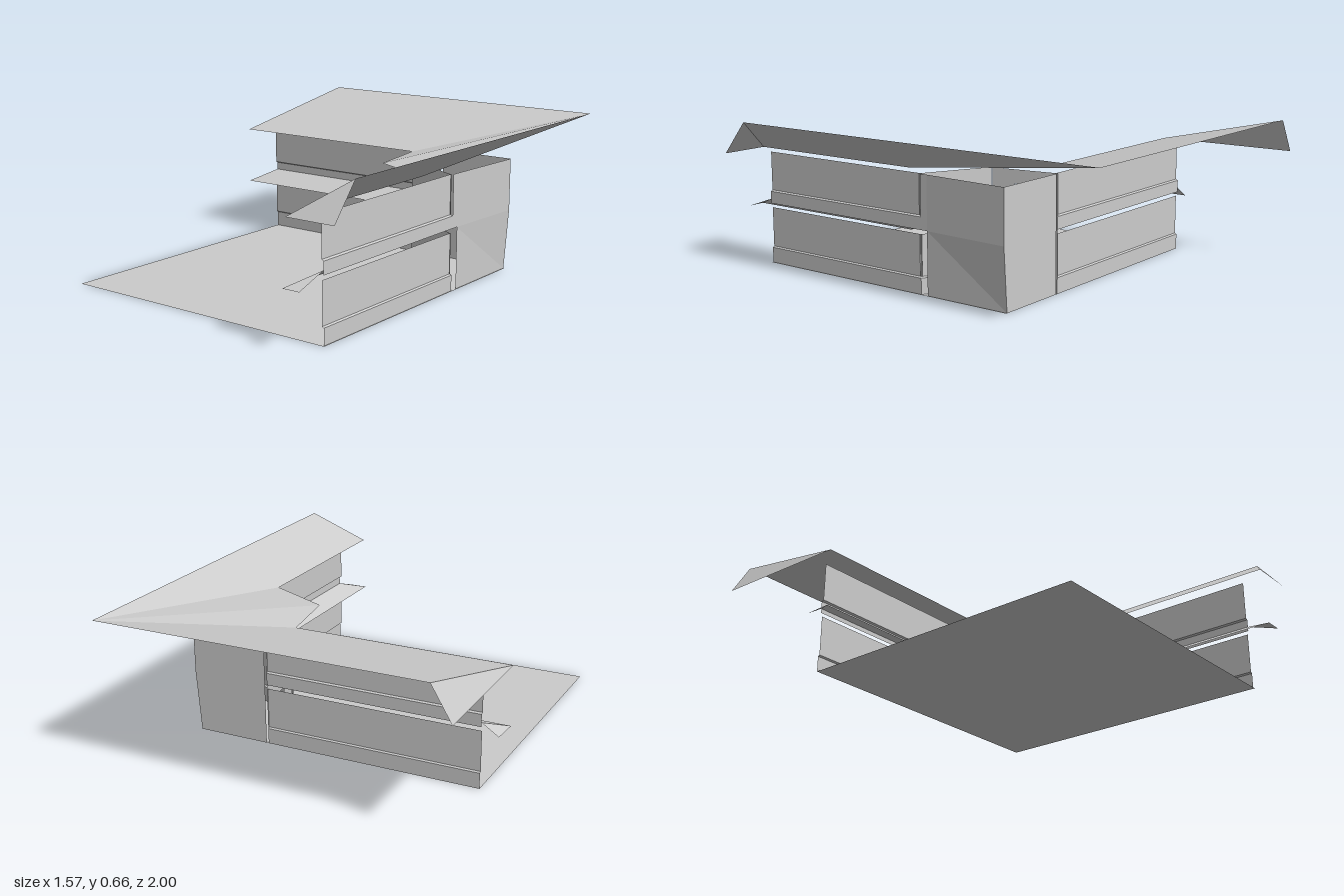
import * as THREE from 'three';

const mat = new THREE.MeshStandardMaterial({ color: 0xcccccc, flatShading: true, side: THREE.DoubleSide });

function mesh(name, geometry) {
  const m = new THREE.Mesh(geometry, mat);
  m.name = name;
  return m;
}

// Ruled sheet joining two polylines with the same number of points
function sheet(a, b, extraTriangles = []) {
  const pos = [];
  for (let i = 0; i < a.length - 1; i++) {
    pos.push(...a[i], ...b[i], ...b[i + 1], ...a[i], ...b[i + 1], ...a[i + 1]);
  }
  for (const tri of extraTriangles) pos.push(...tri.flat());
  const g = new THREE.BufferGeometry();
  g.setAttribute('position', new THREE.Float32BufferAttribute(pos, 3));
  g.computeVertexNormals();
  return g;
}

// Plan points [x, z] raised to height y
const lift = (plan, y) => plan.map(([x, z]) => [x, y, z]);

// Wall sheet between plan points p and q; profile is a list of [inward offset, y]
function wall(name, p, q, profile) {
  const dx = q[0] - p[0], dz = q[1] - p[1], len = Math.hypot(dx, dz);
  const nx = dz / len, nz = -dx / len; // points away from the courtyard
  const row = ([x, z]) => profile.map(([d, y]) => [x - nx * d, y, z - nz * d]);
  return mesh(name, sheet(row(p), row(q)));
}

function rect(Path, x0, y0, x1, y1) {
  const s = new Path();
  s.moveTo(x0, y0);
  s.lineTo(x1, y0);
  s.lineTo(x1, y1);
  s.lineTo(x0, y1);
  s.closePath();
  return s;
}

export function createModel() {
  const group = new THREE.Group();

  // Courtyard floor
  const floor = mesh('floor', new THREE.PlaneGeometry(1.34, 1.34).rotateX(-Math.PI / 2));
  floor.position.set(-0.03, 0, 0.19);
  group.add(floor);

  // Main roof, rising outwards from the kinked inner eave
  const eave = [[-0.78, -0.355], [0.21, -0.355], [0.26, -0.05], [0.555, 0.09], [0.555, 0.98]];
  const rim = [[-0.7, -1], [0.78, -1], [0.78, -1], [0.78, -1], [0.78, 0.855]];
  group.add(mesh('roof', sheet(lift(eave, 0.51), lift(rim, 0.66), [
    [[-0.7, 0.66, -1], [-0.79, 0.51, -1], [-0.78, 0.51, -0.355]],
    [[0.78, 0.66, 0.855], [0.78, 0.51, 0.98], [0.555, 0.51, 0.98]],
  ])));

  // Wall line around the courtyard
  const line = [[-0.7, -0.48], [0.29, -0.48], [0.34, -0.18], [0.635, -0.035], [0.635, 0.855]];

  // Lower canopy following the walls
  const lowEave = eave.map(([x, z], i) => [x, i === 4 ? 1 : z]);
  group.add(mesh('canopy', sheet(lift(lowEave, 0.245), lift(line, 0.295), [
    [[-0.7, 0.295, -0.48], [-0.775, 0.245, -0.48], [-0.78, 0.245, -0.355]],
    [[0.635, 0.295, 0.855], [0.635, 0.245, 1], [0.555, 0.245, 1]],
  ])));

  // Stepped walls, with a narrow slot below the canopy joint
  const lower = [[0, 0], [0, 0.07], [0.008, 0.075], [0.008, 0.255]];
  const upper = [[0, 0.275], [0, 0.33], [0.01, 0.335], [0.01, 0.51]];
  for (const [side, i] of [['back', 0], ['bay', 2], ['side', 3]]) {
    group.add(wall(side + 'LowerWall', line[i], line[i + 1], lower));
    group.add(wall(side + 'UpperWall', line[i], line[i + 1], upper));
  }

  // Bay flank with a door and a window opening
  const [p, q] = [line[1], line[2]];
  const flankLength = Math.hypot(q[0] - p[0], q[1] - p[1]);
  const flank = rect(THREE.Shape, 0, 0, flankLength, 0.51);
  flank.holes.push(rect(THREE.Path, 0.13, 0.01, 0.2, 0.185), rect(THREE.Path, 0.13, 0.33, 0.2, 0.45));
  const flankWall = mesh('bayFlankWall', new THREE.ShapeGeometry(flank));
  flankWall.position.set(p[0], 0, p[1]);
  flankWall.rotation.y = -Math.atan2(q[1] - p[1], q[0] - p[0]);
  group.add(flankWall);

  // Window on the front of the bay
  const [u, v] = [line[2], line[3]];
  const pane = mesh('bayWindow', new THREE.BoxGeometry(0.12, 0.1, 0.015));
  pane.position.set(0.482, 0.38, -0.1);
  pane.rotation.y = -Math.atan2(v[1] - u[1], v[0] - u[0]);
  group.add(pane);

  // Outer corner walls closing the bay; the outer corner flares slightly
  const cornerBottom = [[0.3, 0, -0.48], [0.635, 0, -0.48], [0.635, 0, -0.07]];
  const cornerMiddle = [[0.3, 0.275, -0.48], [0.655, 0.275, -0.48], [0.635, 0.275, -0.07]];
  const cornerTop = [[0.3, 0.51, -0.48], [0.655, 0.51, -0.48], [0.635, 0.51, -0.07]];
  group.add(mesh('cornerLowerWall', sheet(cornerBottom, cornerMiddle)));
  group.add(mesh('cornerUpperWall', sheet(cornerMiddle, cornerTop)));
  group.add(mesh('cornerJoint', sheet(
    [[0.635, 0.275, -0.07], [0.635, 0.275, -0.035]],
    [[0.635, 0.51, -0.07], [0.635, 0.51, -0.035]])));

  return group;
}
